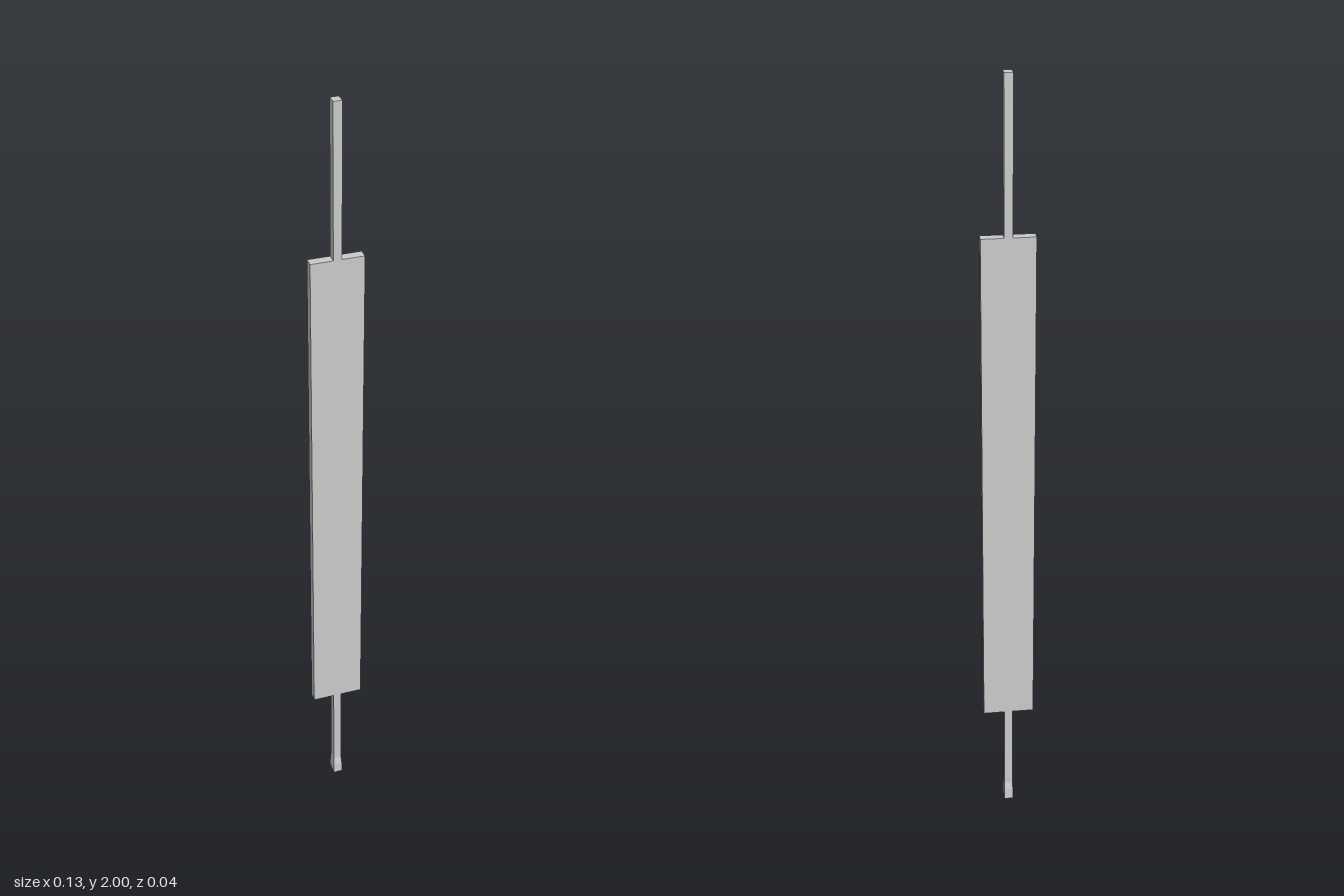
import * as THREE from 'three';

const material = new THREE.MeshStandardMaterial({ color: 0xcccccc, flatShading: true });
const DEPTH = 0.024;
const ROD_WIDTH = 0.021;
const PANEL_BOTTOM = 0.285;
const PANEL_TOP = 1.615;

// Upright box spanning the heights y0 to y1
function bar(name, width, y0, y1) {
  const mesh = new THREE.Mesh(new THREE.BoxGeometry(width, y1 - y0, DEPTH), material);
  mesh.name = name;
  mesh.position.y = (y0 + y1) / 2;
  return mesh;
}

// Flared foot: box whose rows follow [y, half width, half depth]
function foot() {
  const rows = [[0, 0.012, 0.0175], [0.03, 0.0115, 0.016], [0.05, ROD_WIDTH / 2, DEPTH / 2]];
  const geometry = new THREE.BoxGeometry(2, 2, 2, 1, 2, 1);
  const p = geometry.attributes.position;
  for (let i = 0; i < p.count; i++) {
    const [y, hx, hz] = rows[Math.round(p.getY(i)) + 1];
    p.setXYZ(i, Math.sign(p.getX(i)) * hx, y, Math.sign(p.getZ(i)) * hz);
  }
  geometry.computeVertexNormals();
  const mesh = new THREE.Mesh(geometry, material);
  mesh.name = 'foot';
  return mesh;
}

export function createModel() {
  const model = new THREE.Group();
  model.name = 'panelOnRod';
  model.add(
    foot(),
    bar('lowerRod', ROD_WIDTH, 0.05, PANEL_BOTTOM),
    bar('panel', 0.131, PANEL_BOTTOM, PANEL_TOP),
    bar('upperRod', ROD_WIDTH, PANEL_TOP, 2)
  );
  return model;
}
